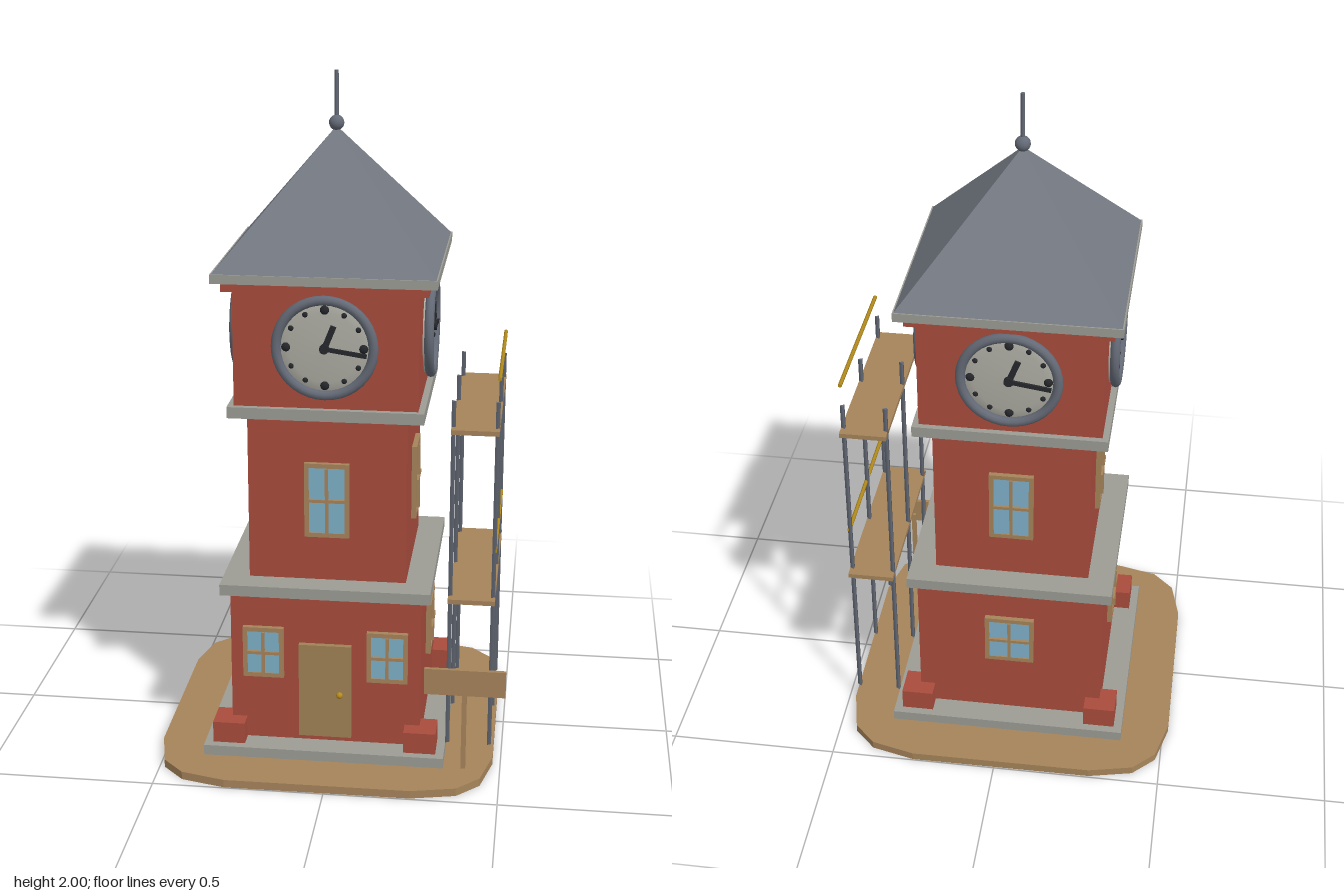
import * as THREE from 'three';

const mat = (name, color, extra = {}) => {
  const m = new THREE.MeshStandardMaterial({ color, ...extra });
  m.name = name;
  return m;
};

export function createModel() {
  const brick = mat('brick', 0xa94c3d);
  const stone = mat('stone', 0x9c9c95);
  const slate = mat('slate', 0x747983, { flatShading: true });
  const steel = mat('steel', 0x646a76);
  const wood = mat('wood', 0xa6845a);
  const doorWood = mat('doorWood', 0xa08256);
  const glass = mat('glass', 0x7fb0c8);
  const dial = mat('dial', 0xadaca3);
  const black = mat('black', 0x25272b);
  const yellow = mat('yellow', 0xb58c1c);

  const add = (parent, name, geo, material, x = 0, y = 0, z = 0) => {
    const m = new THREE.Mesh(geo, material);
    m.name = name;
    m.position.set(x, y, z);
    parent.add(m);
    return m;
  };
  const group = (parent, name) => {
    const g = new THREE.Group();
    g.name = name;
    parent.add(g);
    return g;
  };
  const box = (parent, name, material, w, h, d, x, y, z) =>
    add(parent, name, new THREE.BoxGeometry(w, h, d), material, x, y, z);

  const model = new THREE.Group();
  model.name = 'clockTower';

  // the tower stands slightly left of the middle, the scaffold on its left side
  const tower = group(model, 'tower');
  tower.position.x = -0.02;

  // ground plate with faceted corners
  const quarter = [[0.495, 0.27], [0.465, 0.4], [0.4, 0.465], [0.27, 0.497]];
  const outline = [];
  for (let q = 0; q < 4; q++) {
    const a = q * Math.PI / 2;
    for (const [x, y] of quarter) {
      outline.push(new THREE.Vector2(x * Math.cos(a) - y * Math.sin(a), x * Math.sin(a) + y * Math.cos(a)));
    }
  }
  const plate = new THREE.ExtrudeGeometry(new THREE.Shape(outline), { depth: 0.024, bevelEnabled: false });
  plate.rotateX(-Math.PI / 2);
  add(tower, 'groundPlate', plate, wood);

  // square storeys and courses: name, material, half width, bottom, top
  const tiers = [
    ['plinth', stone, 0.355, 0.024, 0.055],
    ['lowerStorey', brick, 0.28, 0.055, 0.52],
    ['lowerCornice', stone, 0.307, 0.52, 0.553],
    ['middleStorey', brick, 0.23, 0.553, 1.055],
    ['upperCornice', stone, 0.28, 1.055, 1.088],
    ['clockStorey', brick, 0.262, 1.088, 1.425],
    ['brickBand', brick, 0.289, 1.425, 1.453],
    ['eaves', stone, 0.314, 1.453, 1.479],
  ];
  for (const [name, material, half, y0, y1] of tiers) {
    box(tower, name, material, half * 2, y1 - y0, half * 2, 0, (y0 + y1) / 2, 0);
  }

  // corner blocks on the plinth
  for (const sx of [-1, 1]) for (const sz of [-1, 1]) {
    box(tower, 'cornerBlock', brick, 0.095, 0.065, 0.095, sx * 0.283, 0.0875, sz * 0.283);
  }

  // pyramid roof and finial
  const roof = new THREE.ConeGeometry(0.31 * Math.SQRT2, 0.365, 4);
  roof.rotateY(Math.PI / 4);
  add(tower, 'roof', roof, slate, 0, 1.479 + 0.1825, 0);
  add(tower, 'finialBall', new THREE.SphereGeometry(0.022, 16, 10), steel, 0, 1.853, 0);
  add(tower, 'finialRod', new THREE.CylinderGeometry(0.006, 0.006, 0.15, 8), steel, 0, 1.925, 0);

  // wooden frame, panes and glazing bars, facing +z from the wall at z
  const addWindow = (parent, x, y, z, w, h) => {
    const g = group(parent, 'window');
    g.position.set(x, y, z);
    const bar = 0.013;
    for (const s of [-1, 1]) {
      box(g, 'frameSide', wood, bar, h, 0.018, s * (w - bar) / 2, 0, 0.006);
      box(g, 'frameRail', wood, w - bar * 2, bar, 0.018, 0, s * (h - bar) / 2, 0.006);
    }
    box(g, 'pane', glass, w - bar * 2, h - bar * 2, 0.009, 0, 0, 0.0065);
    box(g, 'glazingBar', wood, 0.009, h - bar * 2, 0.02, 0, 0, 0.01);
    box(g, 'glazingBar', wood, w - bar * 2, 0.009, 0.02, 0, 0, 0.01);
  };

  // slightly domed clock with rim, hour dots and two hands
  const addClock = (parent, y, z) => {
    const g = group(parent, 'clock');
    g.position.set(0, y, z);
    const dome = [[0.138, 0], [0.136, 0.012], [0.1, 0.016], [0.05, 0.019], [0, 0.02]]
      .map(([r, h]) => new THREE.Vector2(r, h));
    const face = new THREE.LatheGeometry(dome, 40);
    face.rotateX(Math.PI / 2);
    add(g, 'clockFace', face, dial);
    add(g, 'clockRim', new THREE.TorusGeometry(0.137, 0.014, 10, 40), steel, 0, 0, 0.018);
    for (let i = 0; i < 12; i++) {
      const a = i * Math.PI / 6;
      const dot = add(g, 'hourDot', new THREE.SphereGeometry(i % 3 ? 0.008 : 0.013, 10, 8), black,
        Math.sin(a) * 0.109, Math.cos(a) * 0.109, 0.015);
      dot.scale.z = 0.7;
    }
    const hand = (name, length, width, angle, depth) => {
      const geo = new THREE.BoxGeometry(width, length, 0.007);
      geo.translate(0, length / 2 - 0.008, 0);
      add(g, name, geo, black, 0, 0, depth).rotation.z = -angle;
    };
    hand('hourHand', 0.078, 0.017, 0.38, 0.023);
    hand('minuteHand', 0.128, 0.012, 1.72, 0.026);
    const hub = new THREE.CylinderGeometry(0.014, 0.014, 0.014, 12);
    hub.rotateX(Math.PI / 2);
    add(g, 'clockHub', hub, black, 0, 0, 0.024);
  };

  // the four walls, each built facing +z and turned
  for (let i = 0; i < 4; i++) {
    const wall = group(tower, ['frontWall', 'leftWall', 'backWall', 'rightWall'][i]);
    wall.rotation.y = i * Math.PI / 2;
    addClock(wall, 1.27, 0.262);
    addWindow(wall, 0, 0.803, 0.23, 0.13, 0.225);
    if (i > 0) {
      addWindow(wall, 0, 0.336, 0.28, 0.148, 0.162);
    } else {
      for (const s of [-1, 1]) addWindow(wall, s * 0.183, 0.338, 0.28, 0.12, 0.158);
      box(wall, 'door', doorWood, 0.155, 0.295, 0.02, 0, 0.222, 0.286);
      add(wall, 'doorKnob', new THREE.SphereGeometry(0.01, 12, 8), yellow, 0.044, 0.215, 0.302);
    }
  }

  // signboard on a post
  const sign = group(model, 'sign');
  box(sign, 'signPost', wood, 0.014, 0.27, 0.012, 0.393, 0.159, 0.342);
  box(sign, 'signBoard', wood, 0.235, 0.08, 0.012, 0.394, 0.305, 0.353);

  // scaffold: six poles, two decks, two rails
  const scaffold = group(model, 'scaffold');
  for (const x of [0.339, 0.463]) for (const z of [-0.248, 0, 0.248]) {
    const pole = new THREE.CylinderGeometry(0.008, 0.008, 1.066, 3);
    pole.rotateY(Math.PI / 2);
    add(scaffold, 'pole', pole, steel, x, 0.588, z);
  }
  for (const y of [0.523, 1.038]) {
    box(scaffold, 'deck', wood, 0.136, 0.014, 0.56, 0.403, y, 0);
  }
  for (const y of [0.674, 1.189]) {
    const rail = new THREE.CylinderGeometry(0.006, 0.006, 0.5, 6);
    rail.rotateX(Math.PI / 2);
    add(scaffold, 'rail', rail, yellow, 0.467, y, 0);
  }
  return model;
}
